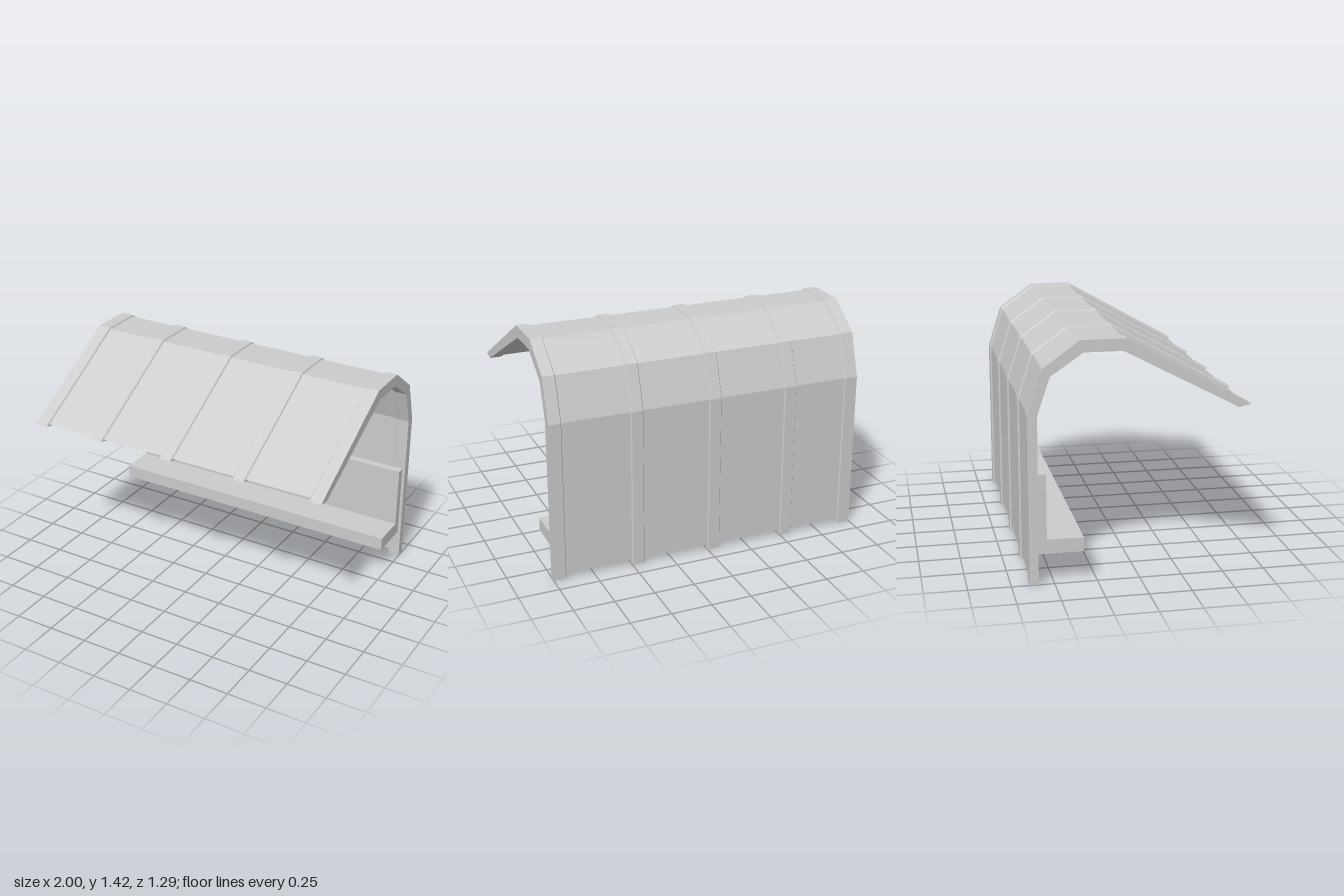
import * as THREE from 'three';

const material = new THREE.MeshStandardMaterial({ color: 0xcccccc, flatShading: true });

// Stations run from the front eave over the roof to the foot: [outer z, outer y, inner z, inner y]
const ribStations = [
  [0.645, 1.01, 0.575, 0.995],
  [-0.08, 1.42, -0.1, 1.35],
  [-0.345, 1.42, -0.325, 1.35],
  [-0.56, 1.265, -0.515, 1.22],
  [-0.645, 1.0, -0.588, 1.0],
  [-0.645, 0, -0.592, 0],
];
const panelStations = [
  [0.615, 1.016, 0.585, 1.001],
  [-0.083, 1.41, -0.098, 1.36],
  [-0.342, 1.41, -0.33, 1.36],
  [-0.552, 1.26, -0.521, 1.225],
  [-0.635, 0.998, -0.597, 1.0],
  [-0.635, 0.03, -0.597, 0.03],
];

// Sweeps a band from x0 to x1 along the stations; c0 and c1 chamfer its two sides
function sweepBand(stations, x0, x1, c0 = 0, c1 = 0) {
  const section = [
    [x0 + c0, 0], [x1 - c1, 0], [x1, 0.16], [x1, 0.84],
    [x1 - c1, 1], [x0 + c0, 1], [x0, 0.84], [x0, 0.16],
  ];
  const n = section.length;
  const positions = [];
  const index = [];
  for (const [oz, oy, iz, iy] of stations) {
    for (const [x, t] of section) {
      positions.push(x, THREE.MathUtils.lerp(oy, iy, t), THREE.MathUtils.lerp(oz, iz, t));
    }
  }
  for (let s = 0; s < stations.length - 1; s++) {
    for (let i = 0; i < n; i++) {
      const a = s * n + i;
      const b = s * n + (i + 1) % n;
      index.push(a, a + n, b, b, a + n, b + n);
    }
  }
  // end caps
  const last = (stations.length - 1) * n;
  for (let i = 1; i < n - 1; i++) {
    index.push(0, i, i + 1, last, last + i + 1, last + i);
  }
  // orient all faces outward
  for (let i = 0; i < index.length; i += 3) {
    [index[i + 1], index[i + 2]] = [index[i + 2], index[i + 1]];
  }
  if (signedVolume(positions, index) < 0) index.reverse();
  const indexed = new THREE.BufferGeometry();
  indexed.setAttribute('position', new THREE.Float32BufferAttribute(positions, 3));
  indexed.setIndex(index);
  const geometry = indexed.toNonIndexed();
  geometry.computeVertexNormals();
  return geometry;
}

function signedVolume(positions, index) {
  const corner = (k) => new THREE.Vector3().fromArray(positions, index[k] * 3);
  let volume = 0;
  for (let i = 0; i < index.length; i += 3) {
    volume += corner(i).dot(corner(i + 1).cross(corner(i + 2)));
  }
  return volume;
}

function addPart(group, name, geometry) {
  const mesh = new THREE.Mesh(geometry, material);
  mesh.name = name;
  group.add(mesh);
  return mesh;
}

export function createModel() {
  const group = new THREE.Group();
  group.name = 'shelter';

  // folded sheet forming roof and back wall
  addPart(group, 'shellPanel', sweepBand(panelStations, -0.96, 0.96));

  // five ribs, the outermost two flat on their outer side
  const ribs = new THREE.Group();
  ribs.name = 'ribs';
  group.add(ribs);
  const spans = [[-1, -0.915], [-0.58, -0.5], [-0.08, 0], [0.42, 0.5], [0.92, 1]];
  spans.forEach(([x0, x1], i) => {
    const c0 = i === 0 ? 0 : 0.006;
    const c1 = i === spans.length - 1 ? 0 : 0.006;
    addPart(ribs, `rib${i + 1}`, sweepBand(ribStations, x0, x1, c0, c1));
  });

  // L-shaped bench: seat and backrest in one extrusion along x
  const profile = new THREE.Shape([
    [0.325, 0.18], [0.59, 0.18], [0.59, 0.655], [0.54, 0.655], [0.54, 0.265], [0.325, 0.265],
  ].map(([back, y]) => new THREE.Vector2(back, y)));
  const bench = new THREE.ExtrudeGeometry(profile, { depth: 1.965, bevelEnabled: false });
  bench.rotateY(Math.PI / 2);
  bench.translate(-0.984, 0, 0);
  addPart(group, 'bench', bench);

  return group;
}
